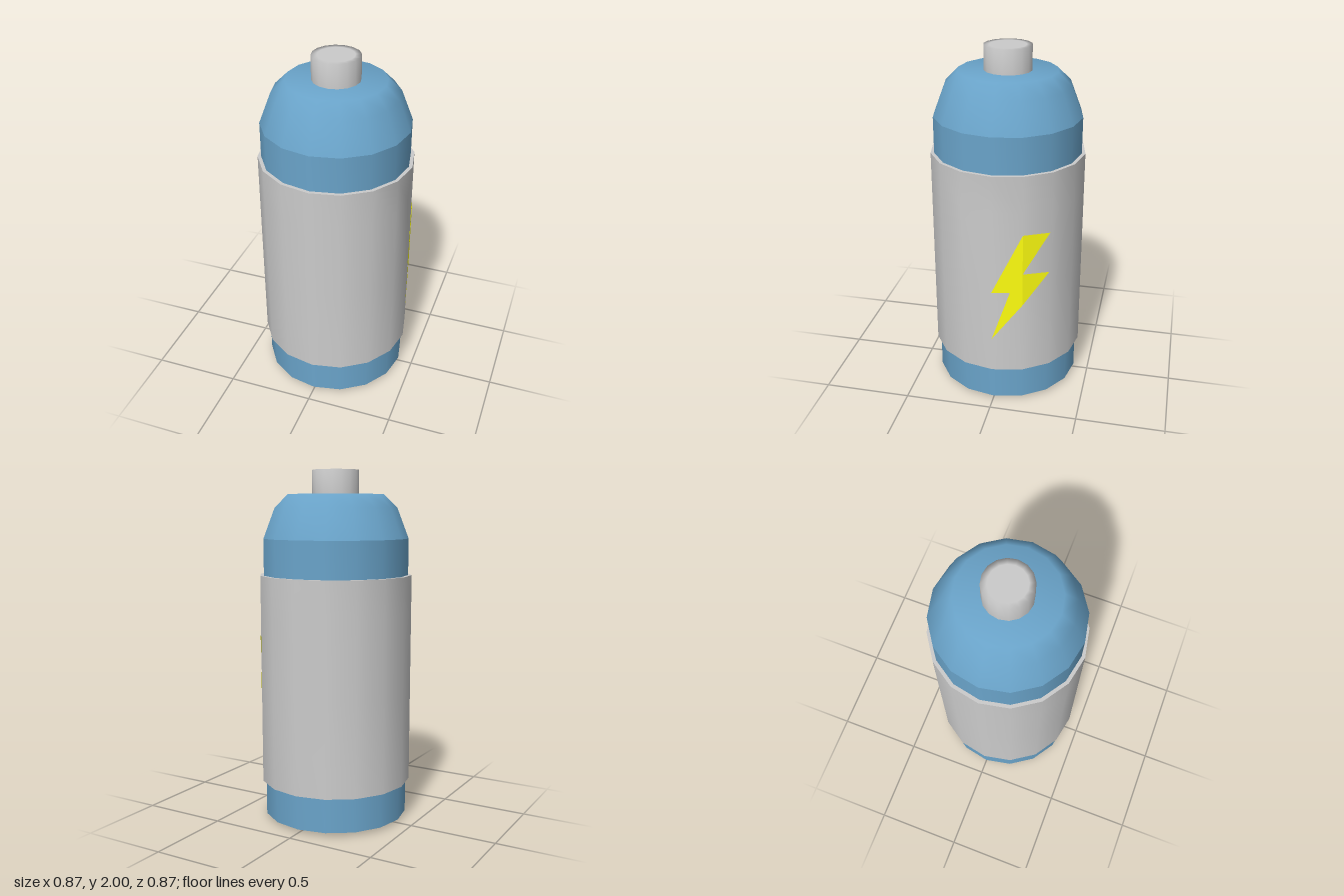
import * as THREE from 'three';
import { mergeVertices } from 'three/addons/utils/BufferGeometryUtils.js';

const SIDES = 16;
const grey = new THREE.MeshStandardMaterial({ color: 0xcccccc });
const blue = new THREE.MeshStandardMaterial({ color: 0x6aa4ca });
const yellow = new THREE.MeshStandardMaterial({ color: 0xffff10, side: THREE.DoubleSide });

// Turned surface with welded seam, smooth along its own profile (bottom to top)
function turned(name, profile, material, reshape) {
  let geo = new THREE.LatheGeometry(profile.map(([r, y]) => new THREE.Vector2(r, y)), SIDES);
  geo.deleteAttribute('uv');
  geo.deleteAttribute('normal');
  if (reshape) reshape(geo.attributes.position);
  geo = mergeVertices(geo, 1e-4);
  geo.computeVertexNormals();
  const mesh = new THREE.Mesh(geo, material);
  mesh.name = name;
  return mesh;
}

// Shallow dent on the left side of the sleeve, above the bolt
function dent(pos) {
  for (let i = 0; i < pos.count; i++) {
    const onSide = Math.abs(pos.getZ(i)) < 0.01 && pos.getX(i) > 0;
    if (onSide && Math.abs(pos.getY(i) - 1.2) < 0.01) pos.setX(i, 0.418);
  }
}

// Lightning symbol, wrapped onto two neighbouring facets of the sleeve
function boltPiece(points, radius) {
  const shape = new THREE.Shape(points.map(([u, y]) => new THREE.Vector2(u, y)));
  const geo = new THREE.ShapeGeometry(shape);
  const pos = geo.attributes.position;
  const corners = [0, 1, 2].map((k) => {
    const a = (k * 2 * Math.PI) / SIDES;
    return [radius * Math.sin(a), radius * Math.cos(a)];
  });
  for (let i = 0; i < pos.count; i++) {
    const u = pos.getX(i);
    const k = u <= corners[1][0] ? 0 : 1;
    const [u0, x0] = corners[k], [u1, x1] = corners[k + 1];
    pos.setXYZ(i, x0 + ((x1 - x0) * (u - u0)) / (u1 - u0), pos.getY(i), -u);
  }
  geo.computeVertexNormals();
  return new THREE.Mesh(geo, yellow);
}

export function createModel() {
  const group = new THREE.Group();
  group.name = 'battery';

  // Inner cell
  group.add(
    turned('cellBase', [[0, 0], [0.415, 0.02]], blue),
    turned('cellWall', [[0.415, 0.02], [0.415, 1.62]], blue),
    turned('cellShoulder', [[0.415, 1.62], [0.35, 1.79], [0.275, 1.865], [0, 1.865]], blue),
  );

  // Outer sleeve with flat rims
  group.add(
    turned('sleeveWall', [[0.435, 0.22], [0.435, 0.75], [0.435, 1.2], [0.435, 1.415]], grey, dent),
    turned('sleeveTopRim', [[0.435, 1.415], [0.41, 1.415]], grey),
    turned('sleeveBottomRim', [[0.41, 0.22], [0.435, 0.22]], grey),
  );

  // Terminal on top
  group.add(turned('terminal', [[0.133, 1.86], [0.133, 2], [0.1, 2], [0, 2]], grey));

  // Lightning bolt, split along the sleeve's facet edge
  const bolt = new THREE.Group();
  bolt.name = 'lightningBolt';
  const r = 0.439, edge = r * Math.sin((2 * Math.PI) / SIDES);
  bolt.add(
    boltPiece([[0, 0.43], [edge, 0.65], [edge, 1.08], [0, 0.73], [0.1, 0.73]], r),
    boltPiece([[edge, 0.65], [0.3, 0.83], [edge, 0.845]], r),
    boltPiece([[edge, 0.845], [0.3, 1.07], [edge, 1.08]], r),
  );
  group.add(bolt);
  return group;
}
